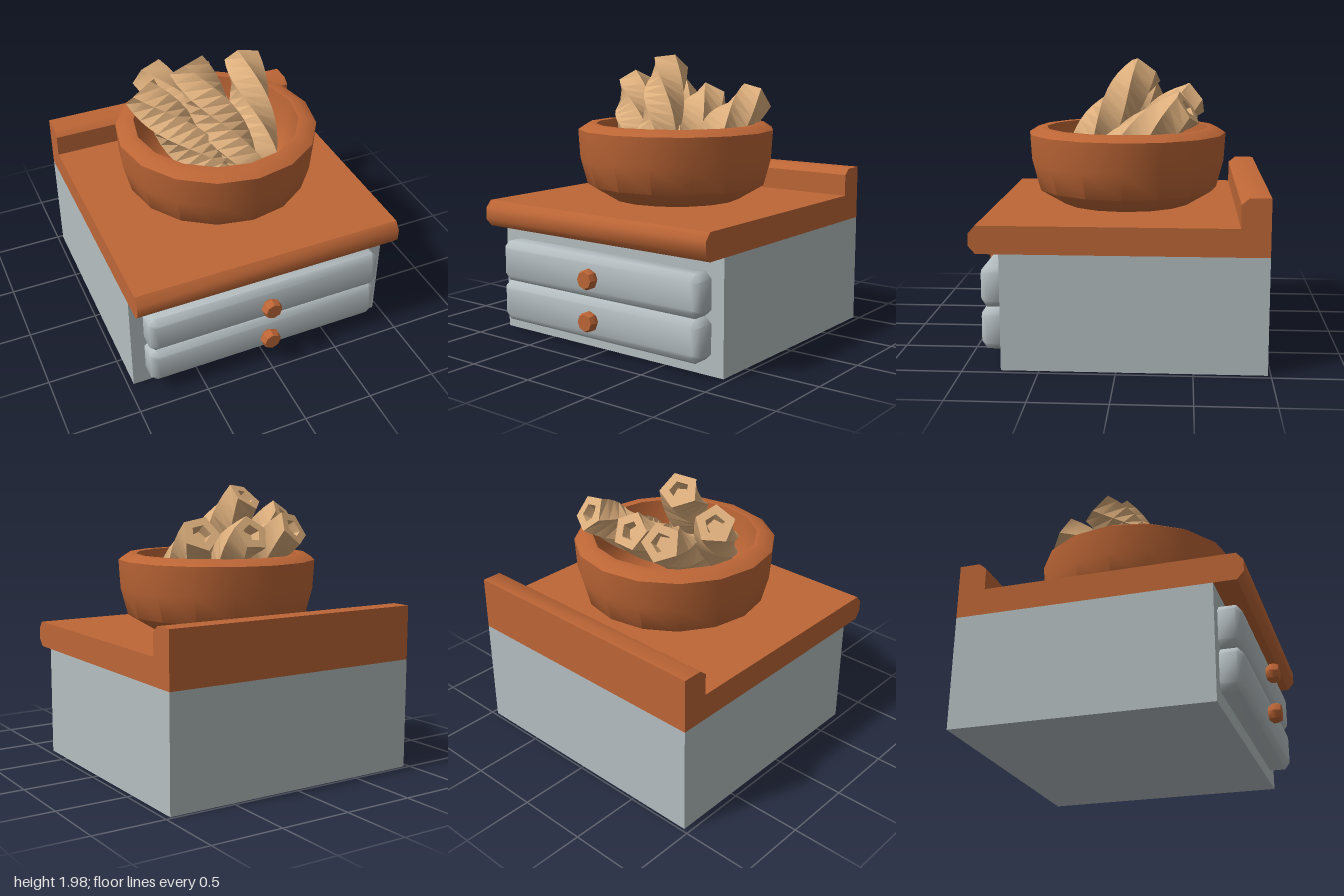
import * as THREE from 'three';
import { toCreasedNormals } from 'three/addons/utils/BufferGeometryUtils.js';

const wood = new THREE.MeshStandardMaterial({ color: 0xbd6636 });
wood.name = 'terracotta wood';
const grey = new THREE.MeshStandardMaterial({ color: 0xb5bec1 });
grey.name = 'cabinet grey';
const crust = new THREE.MeshStandardMaterial({ color: 0xdcae7c });
crust.name = 'bread crust';

const v2 = (list) => list.map(([x, y]) => new THREE.Vector2(x, y));

function add(parent, name, geometry, material, x = 0, y = 0, z = 0) {
  const mesh = new THREE.Mesh(geometry, material);
  mesh.name = name;
  mesh.position.set(x, y, z);
  parent.add(mesh);
  return mesh;
}

// Worktop with backsplash: side profile (z, y) extruded across the width
function worktopGeometry() {
  const profile = new THREE.Shape(v2([
    [-0.98, 0.775], [0.9, 0.775], [0.945, 0.827], [0.945, 0.908], [0.9, 0.96],
    [-0.79, 0.96], [-0.79, 1.113], [-0.84, 1.155], [-0.98, 1.155],
  ]));
  const geo = new THREE.ExtrudeGeometry(profile, { depth: 1.92, bevelEnabled: false });
  geo.translate(0, 0, -0.96);
  geo.rotateY(-Math.PI / 2);
  // the profile's first axis now runs along +z
  return toCreasedNormals(geo, 0.785);
}

// Drawer front: cut-corner panel with a single bevel
function drawerGeometry(w, h) {
  const b = 0.04, c = 0.02, x = w / 2 - b, y = h / 2 - b;
  const shape = new THREE.Shape(v2([
    [-x + c, -y], [x - c, -y], [x, -y + c], [x, y - c],
    [x - c, y], [-x + c, y], [-x, y - c], [-x, -y + c],
  ]));
  const geo = new THREE.ExtrudeGeometry(shape, {
    depth: 0.12, bevelEnabled: true, bevelSegments: 1, bevelSize: b, bevelThickness: 0.035,
  });
  return toCreasedNormals(geo, 0.9);
}

// Twisted five-sided loaf with a recessed upper end
function loafGeometry(length, phase, twist) {
  const h = length / 2, steps = 12;
  const profile = [[0, -h]];
  for (let i = 0; i <= steps; i++) {
    const t = i / steps;
    profile.push([0.135 + 0.018 * Math.sin(Math.PI * t), -h + length * t]);
  }
  profile.push([0.068, h], [0.055, h - 0.07], [0, h - 0.07]);
  const geo = new THREE.LatheGeometry(v2(profile), 5);
  const pos = geo.attributes.position, p = new THREE.Vector3(), up = new THREE.Vector3(0, 1, 0);
  for (let i = 0; i < pos.count; i++) {
    p.fromBufferAttribute(pos, i);
    p.applyAxisAngle(up, phase + twist * (h - p.y) / length);
    pos.setXYZ(i, p.x, p.y, p.z);
  }
  return toCreasedNormals(geo, 0.6);
}

export function createModel() {
  const model = new THREE.Group();
  model.name = 'bread counter';

  add(model, 'cabinet', new THREE.BoxGeometry(1.92, 0.775, 1.73), grey, 0, 0.3875, -0.115);
  add(model, 'worktop', worktopGeometry(), wood);

  // Drawers with turned knobs
  const drawer = drawerGeometry(1.73, 0.284);
  const knob = toCreasedNormals(new THREE.LatheGeometry(v2([
    [0.045, 0], [0.071, 0.03], [0.071, 0.055], [0.058, 0.085], [0, 0.085],
  ]), 8).rotateX(Math.PI / 2), 0.7);
  for (const y of [0.243, 0.531]) {
    add(model, 'drawer', drawer, grey, 0, y, 0.74);
    add(model, 'knob', knob, wood, 0, y, 0.895);
  }

  // Bowl: outer wall, rim and hollow inside
  const bowl = new THREE.LatheGeometry(v2([
    [0, 0.962], [0.46, 0.962], [0.64, 1.07], [0.69, 1.26], [0.702, 1.46], [0.64, 1.5],
    [0.575, 1.5], [0.56, 1.27], [0.49, 1.12], [0.36, 1.05], [0, 1.05],
  ]), 16);
  add(model, 'bowl', toCreasedNormals(bowl, 0.8), wood, 0, 0, -0.02);

  // Loaves: upper end, lower end, turn of the end face in degrees
  const loaves = [
    [[-0.49, 1.76, -0.17], [-0.08, 1.2, 0.36], 36],
    [[-0.16, 1.9, -0.15], [0.1, 1.22, 0.38], -20],
    [[-0.32, 1.69, -0.5], [0, 1.2, 0.25], -25],
    [[0, 1.66, -0.46], [0.06, 1.17, 0.28], 0],
    [[0.4, 1.67, -0.45], [0.23, 1.17, 0.28], 36],
  ];
  for (const [a, b, turn] of loaves) {
    const top = new THREE.Vector3(...a), low = new THREE.Vector3(...b);
    const dir = top.clone().sub(low);
    const geo = loafGeometry(dir.length(), THREE.MathUtils.degToRad(turn), 2.8);
    const loaf = add(model, 'loaf', geo, crust);
    loaf.position.addVectors(top, low).multiplyScalar(0.5);
    loaf.quaternion.setFromUnitVectors(new THREE.Vector3(0, 1, 0), dir.normalize());
  }
  return model;
}
